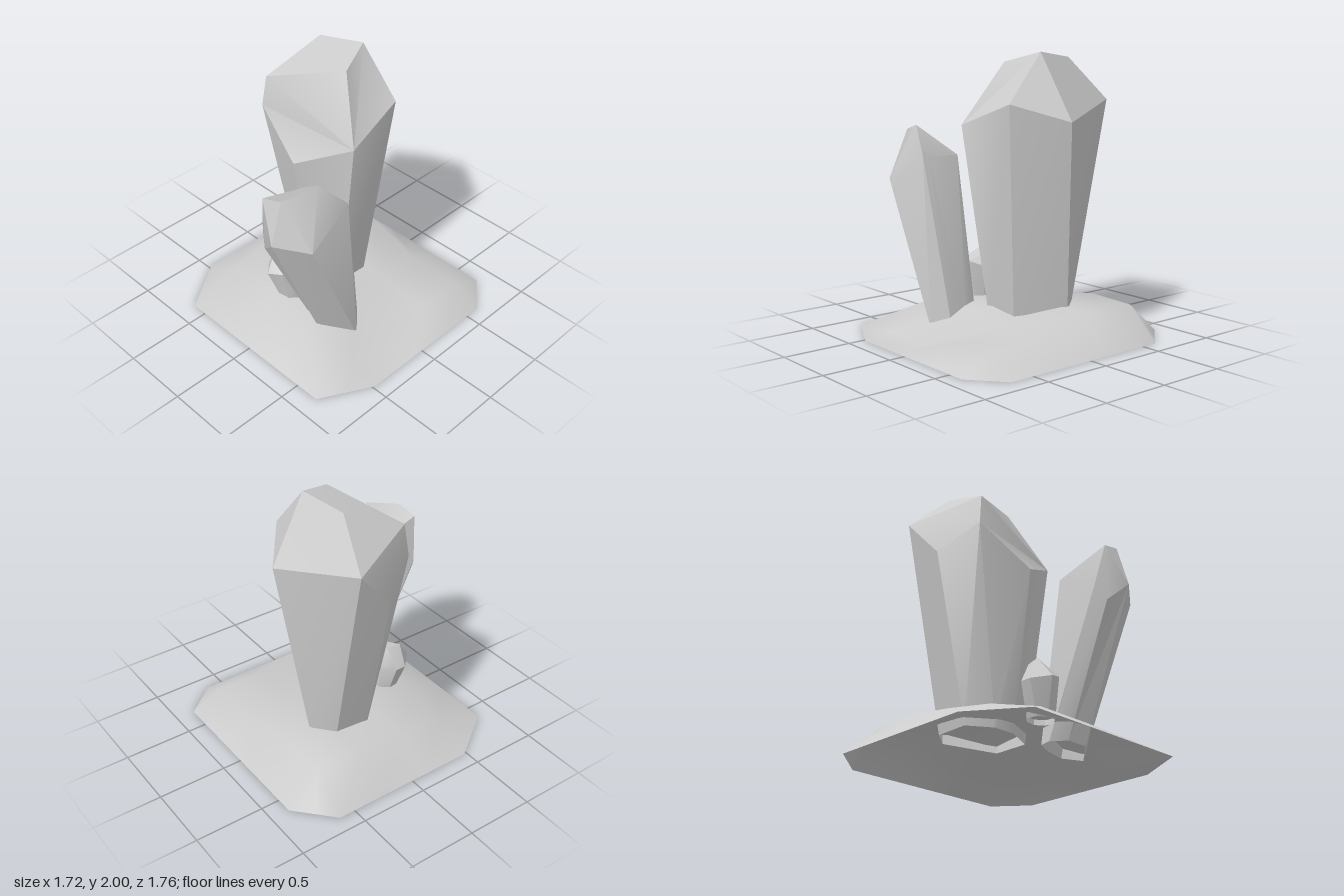
import * as THREE from 'three';
import { toCreasedNormals } from 'three/addons/utils/BufferGeometryUtils.js';

const rock = new THREE.MeshStandardMaterial({ color: 0xcccccc, side: THREE.DoubleSide });

// Faceted crystal: foot ring, shoulder ring and tip points; caps list polygons by index
// (shoulder points first, then tip points), counter-clockwise from outside.
function crystal(name, feet, shoulder, tip, caps) {
  const n = feet.length;
  const top = [...shoulder, ...tip];
  const positions = [];
  const polygon = (points) => {
    for (let i = 1; i < points.length - 1; i++) positions.push(...points[0], ...points[i], ...points[i + 1]);
  };
  for (let i = 0; i < n; i++) {
    const j = (i + 1) % n;
    polygon([feet[i], feet[j], shoulder[j], shoulder[i]]);
  }
  caps.forEach((cap) => polygon(cap.map((i) => top[i])));
  const geometry = new THREE.BufferGeometry();
  geometry.setAttribute('position', new THREE.Float32BufferAttribute(positions, 3));
  const mesh = new THREE.Mesh(toCreasedNormals(geometry, 0.55), rock);
  mesh.name = name;
  return mesh;
}

// Low rocky mound: a height grid with clipped corners
function mound() {
  const xs = [-0.85, -0.48, -0.1, 0.25, 0.62, 0.86];
  const zs = [-0.88, -0.62, -0.18, 0.25, 0.68, 0.88];
  const heights = [
    [0.12, 0.19, 0.24, 0.23],
    [0.22, 0.22, 0.24, 0.24],
    [0.22, 0.21, 0.14, 0.11],
    [0.02, 0.01, 0.11, 0.11],
  ];
  const geometry = new THREE.PlaneGeometry(1, 1, 5, 5);
  const pos = geometry.attributes.position;
  const edge = (i) => i === 0 || i === 5;
  for (let r = 0; r < 6; r++) {
    for (let c = 0; c < 6; c++) {
      let x = xs[c], z = zs[r];
      if (edge(r) && edge(c)) {
        x = (x + xs[c ? 4 : 1]) / 2;
        z = (z + zs[r ? 4 : 1]) / 2;
      }
      const y = edge(r) || edge(c) ? 0 : heights[r - 1][c - 1];
      pos.setXYZ(r * 6 + c, x, y, z);
    }
  }
  geometry.computeVertexNormals();
  const mesh = new THREE.Mesh(geometry, rock);
  mesh.name = 'rockBase';
  return mesh;
}

export function createModel() {
  const group = new THREE.Group();
  group.name = 'crystalCluster';
  group.add(mound());

  // Tall crystal, its shoulder dipping at the back and right
  group.add(crystal('tallCrystal',
    [[-0.05, 0.14, 0.12], [0.2, 0.13, 0.1], [0.4, 0.17, -0.22], [0.28, 0.17, -0.36],
      [0.02, 0.17, -0.37], [-0.11, 0.16, -0.22], [-0.13, 0.15, -0.07]],
    [[-0.12, 1.5, 0.3], [0.33, 1.66, 0.25], [0.58, 1.54, -0.08], [0.31, 1.66, -0.67],
      [0.04, 1.36, -0.63], [-0.22, 1.55, -0.48], [-0.31, 1.3, -0.08]],
    [[0.05, 1.93, 0.06], [0.31, 2, -0.04], [0.23, 1.96, -0.37], [-0.2, 1.78, -0.45]],
    [[0, 1, 8, 7], [8, 1, 2], [8, 2, 3, 9], [7, 8, 9, 10], [9, 3, 10],
      [10, 3, 5], [3, 4, 5], [10, 5, 0], [5, 6, 0], [10, 0, 7]]));

  // Leaning crystal
  group.add(crystal('leaningCrystal',
    [[-0.43, 0.08, 0.3], [-0.25, 0.06, 0.48], [-0.14, 0.08, 0.38], [-0.14, 0.1, 0.25],
      [-0.2, 0.1, 0.12], [-0.29, 0.1, 0.1], [-0.39, 0.1, 0.18]],
    [[-0.86, 1.12, 0.3], [-0.7, 1.09, 0.51], [-0.34, 1.28, 0.47], [-0.35, 1.27, 0.41],
      [-0.39, 1.26, 0.13], [-0.74, 1.07, 0.08], [-0.79, 0.98, 0.15]],
    [[-0.77, 1.43, 0.3], [-0.53, 1.48, 0.39], [-0.79, 1.39, 0.15]],
    [[1, 2, 8, 7], [0, 1, 7], [8, 2, 3, 4], [4, 5, 9], [9, 5, 6], [9, 6, 0], [9, 0, 7], [7, 8, 4, 9]]));

  // Small crystal: eight-sided shaft rising to a short ridge near the back
  const feet = Array.from({ length: 8 }, (_, i) => {
    const a = Math.PI * (0.92 + i / 4);
    return [-0.37 + 0.09 * Math.cos(a), 0.18, -0.06 - 0.1 * Math.sin(a)];
  });
  group.add(crystal('smallCrystal', feet,
    [[-0.54, 0.43, -0.13], [-0.5, 0.46, -0.02], [-0.43, 0.49, 0.05], [-0.33, 0.48, 0.07],
      [-0.26, 0.45, 0.0], [-0.28, 0.42, -0.14], [-0.36, 0.41, -0.23], [-0.44, 0.41, -0.23]],
    [[-0.44, 0.57, -0.16], [-0.34, 0.56, -0.14]],
    [[8, 0, 1, 2], [2, 3, 9, 8], [9, 3, 4, 5], [9, 5, 6], [8, 9, 6, 7], [8, 7, 0]]));

  return group;
}
